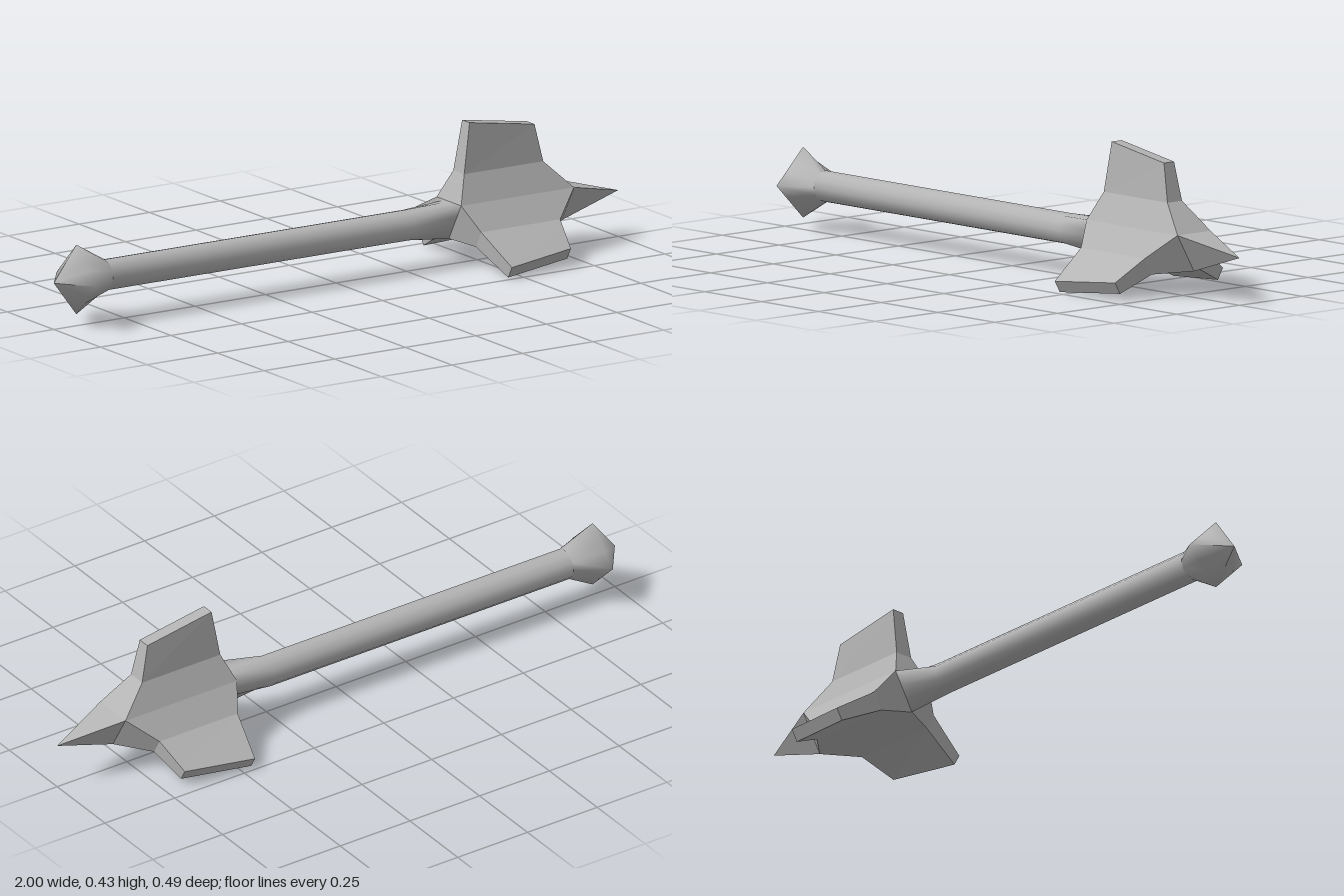
import * as THREE from 'three';

const AXIS_Y = 0.14;   // centre line of the shaft
const HEAD_Y = 0.153;  // centre of the three-sided head
const IN_R = 0.038;    // inner radius of the triangular core

// Skin a list of rings (equal point counts, counter-clockwise seen from the far end).
function loft(rings, smooth = false, capEnd = false) {
  const n = rings[0].length;
  const index = [];
  for (let r = 0; r < rings.length - 1; r++) {
    for (let i = 0; i < n; i++) {
      const a = r * n + i, b = r * n + (i + 1) % n;
      index.push(a, b, b + n, a, b + n, a + n);
    }
  }
  if (capEnd) {
    const o = (rings.length - 1) * n;
    for (let i = 1; i < n - 1; i++) index.push(o, o + i, o + i + 1);
  }
  let geo = new THREE.BufferGeometry();
  geo.setAttribute('position', new THREE.Float32BufferAttribute(rings.flat(2), 3));
  geo.setIndex(index);
  if (!smooth) geo = geo.toNonIndexed();
  geo.computeVertexNormals();
  return geo;
}

// Ring around the x axis; angle 0 points up, radius is a function of the angle.
function ring(x, y, n, radius) {
  return Array.from({ length: n }, (_, i) => {
    const a = (i / n) * Math.PI * 2, r = radius(a);
    return [x, y + r * Math.cos(a), r * Math.sin(a)];
  });
}

const circle = (r) => () => r;
const diamond = (r) => (a) => r / (Math.abs(Math.cos(a)) + Math.abs(Math.sin(a)));
const triangle = (a) => {
  const third = Math.PI * 2 / 3;
  return IN_R / Math.cos(a - Math.round(a / third) * third);
};

export function createModel() {
  const group = new THREE.Group();
  const steel = new THREE.MeshStandardMaterial({ color: 0xb4b4b4 });
  steel.name = 'steel';

  const add = (name, geo, y = 0) => {
    const mesh = new THREE.Mesh(geo, steel);
    mesh.name = name;
    mesh.position.y = y;
    group.add(mesh);
    return mesh;
  };

  // Pommel: four-pointed knob that tapers to a tip
  add('pommel', loft([
    ring(-1, AXIS_Y, 12, circle(0)),
    ring(-0.92, AXIS_Y, 12, diamond(0.106)),
    ring(-0.82, AXIS_Y, 12, circle(0.047)),
  ], true));

  // Round shaft flaring into the triangular core
  add('shaft', loft([
    ring(-0.82, AXIS_Y, 12, circle(0.047)),
    ring(0.25, AXIS_Y, 12, circle(0.047)),
    ring(0.4, HEAD_Y, 12, triangle),
  ], true));

  // Three flanges on the sides of the core
  const section = (x0, x1, y0, y1, h) => [[x0, y0, h], [x1, y1, h], [x1, y1, -h], [x0, y0, -h]];
  const flange = loft([
    section(0.4, 0.8, IN_R, IN_R, IN_R * Math.sqrt(3)),
    section(0.435, 0.715, 0.122, 0.122, 0.029),
    section(0.46, 0.69, 0.274, 0.237, 0.02),
  ], false, true);
  for (let i = 0; i < 3; i++) {
    add('flange' + (i + 1), flange, HEAD_Y).rotation.x = i * Math.PI * 2 / 3;
  }

  // Three-sided front spike, its corners lying between the flanges
  const base = [1, 3, 5].map((k) => {
    const a = k * Math.PI / 3;
    return [0.8, HEAD_Y + 2 * IN_R * Math.cos(a), 2 * IN_R * Math.sin(a)];
  });
  add('spike', loft([base, base.map(() => [1, AXIS_Y, 0])]));

  return group;
}
